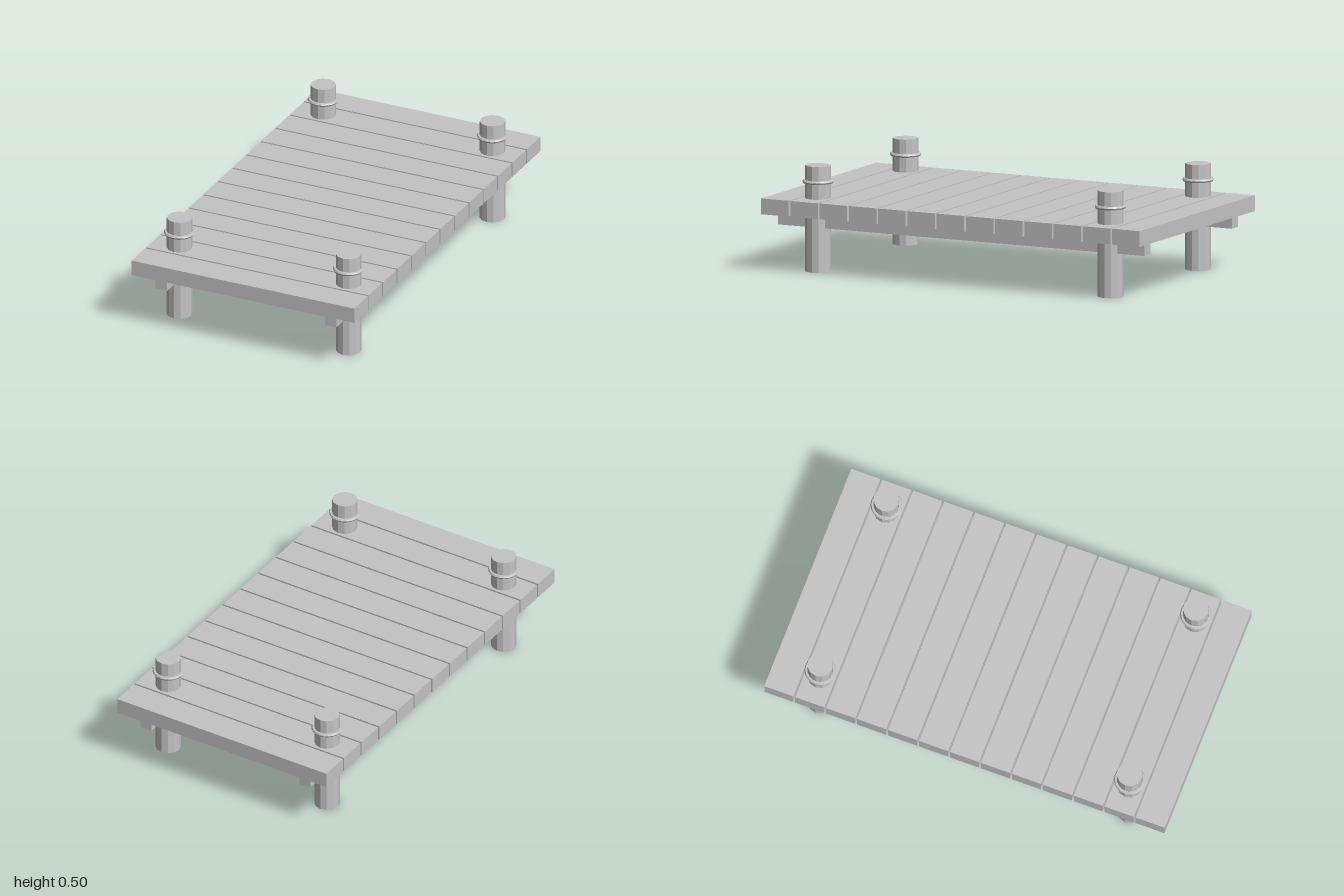
import * as THREE from 'three';

export function createModel() {
  const group = new THREE.Group();
  group.name = 'woodenDock';
  const wood = new THREE.MeshStandardMaterial({ color: 0xc4c4c4 });
  wood.name = 'plain grey';
  wood.flatShading = true;

  const add = (name, geometry, x, y, z) => {
    const mesh = new THREE.Mesh(geometry, wood);
    mesh.name = name;
    mesh.position.set(x, y, z);
    group.add(mesh);
    return mesh;
  };

  // Deck planks laid across, with narrow gaps
  const count = 13, pitch = 0.1546, depth = 2 - pitch * (count - 1);
  const plank = new THREE.BoxGeometry(1.156, 0.075, depth);
  for (let i = 0; i < count; i++) {
    add('plank', plank, 0, 0.309, (i - (count - 1) / 2) * pitch);
  }

  const beam = new THREE.BoxGeometry(0.06, 0.062, 1.935);
  const post = new THREE.CylinderGeometry(0.06, 0.06, 0.502, 12);
  const ring = new THREE.TorusGeometry(0.065, 0.009, 6, 20).rotateX(Math.PI / 2);

  for (const side of [-1, 1]) {
    const x = side * 0.439;
    // Long beam under the deck
    add('supportBeam', beam, x, 0.241, 0);
    // Posts through the deck, each with a rope ring
    for (const end of [-1, 1]) {
      add('post', post, x, 0.251, end * 0.773);
      add('ropeRing', ring, x, 0.426, end * 0.773);
    }
  }
  return group;
}
